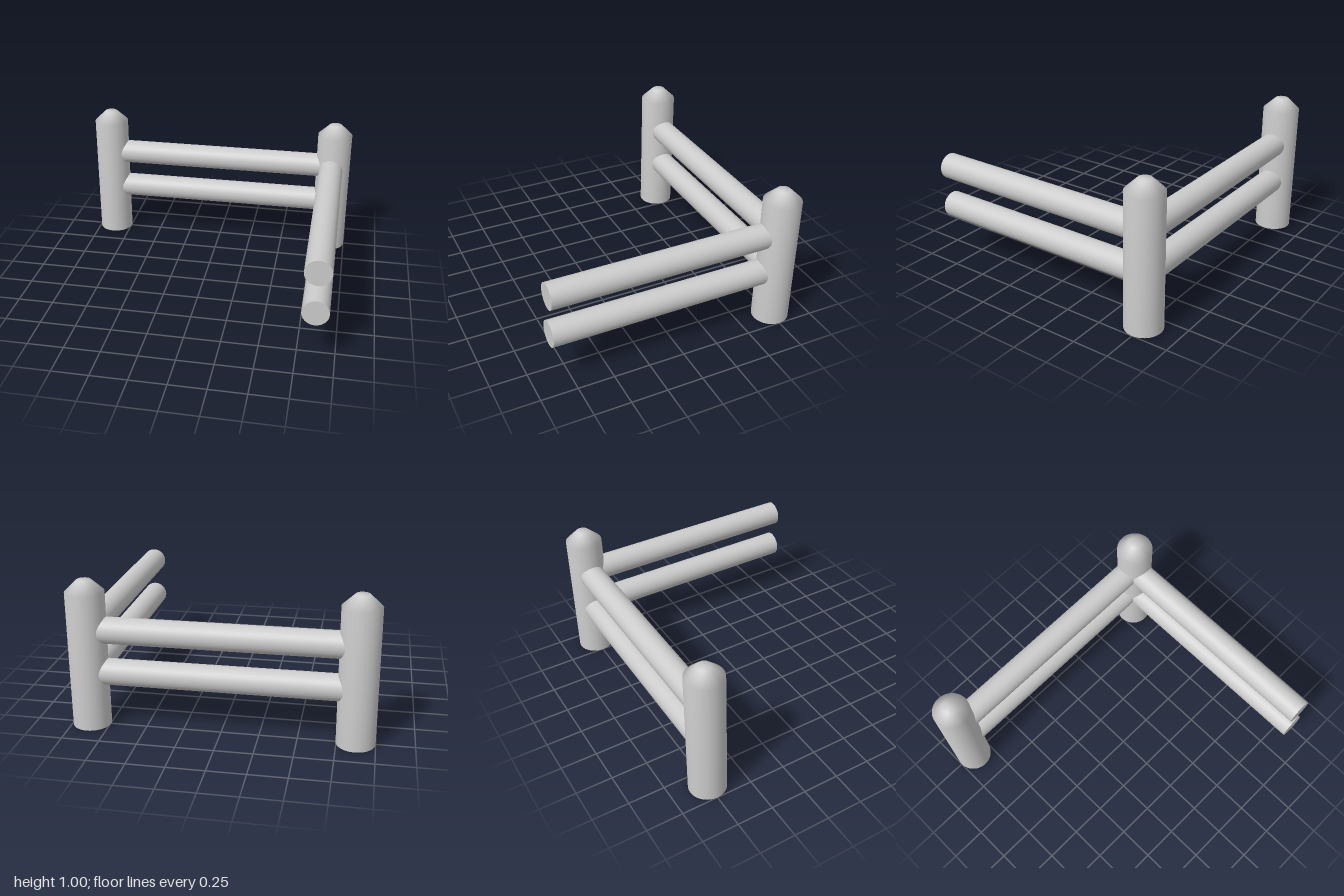
import * as THREE from 'three';

const material = new THREE.MeshStandardMaterial({ color: 0xcccccc });
const POST_X = 0.873, POST_Z = -0.75, POST_R = 0.127;
const RAIL_R = 0.088, RAIL_HEIGHTS = [0.38, 0.667];

function addMesh(parent, geometry, name) {
  const mesh = new THREE.Mesh(geometry, material);
  mesh.name = name;
  parent.add(mesh);
  return mesh;
}

// Round post with a softly shaded, chamfered top
function createPost(name, x) {
  const post = new THREE.Group();
  post.name = name;
  const profile = [[POST_R, 0], [POST_R, 0.922], [0.046, 1], [0, 1]]
    .map(([r, y]) => new THREE.Vector2(r, y));
  addMesh(post, new THREE.LatheGeometry(profile, 48), name + 'Body');
  addMesh(post, new THREE.CircleGeometry(POST_R, 48), name + 'Base').rotation.x = Math.PI / 2;
  post.position.set(x, 0, POST_Z);
  return post;
}

export function createModel() {
  const model = new THREE.Group();
  model.name = 'cornerFence';
  model.add(createPost('leftPost', POST_X), createPost('rightPost', -POST_X));

  RAIL_HEIGHTS.forEach((y, i) => {
    const level = i ? 'upper' : 'lower';

    // Rail spanning the two posts
    const back = addMesh(model, new THREE.CylinderGeometry(RAIL_R, RAIL_R, 2 * POST_X, 48), level + 'BackRail');
    back.rotation.z = Math.PI / 2;
    back.position.set(0, y, POST_Z);

    // Rail running forward from the corner post, with a free end
    const length = 0.877 - POST_Z;
    const side = addMesh(model, new THREE.CylinderGeometry(RAIL_R, RAIL_R, length, 48), level + 'SideRail');
    side.rotation.x = Math.PI / 2;
    side.position.set(0.86, y, POST_Z + length / 2);
  });

  return model;
}
